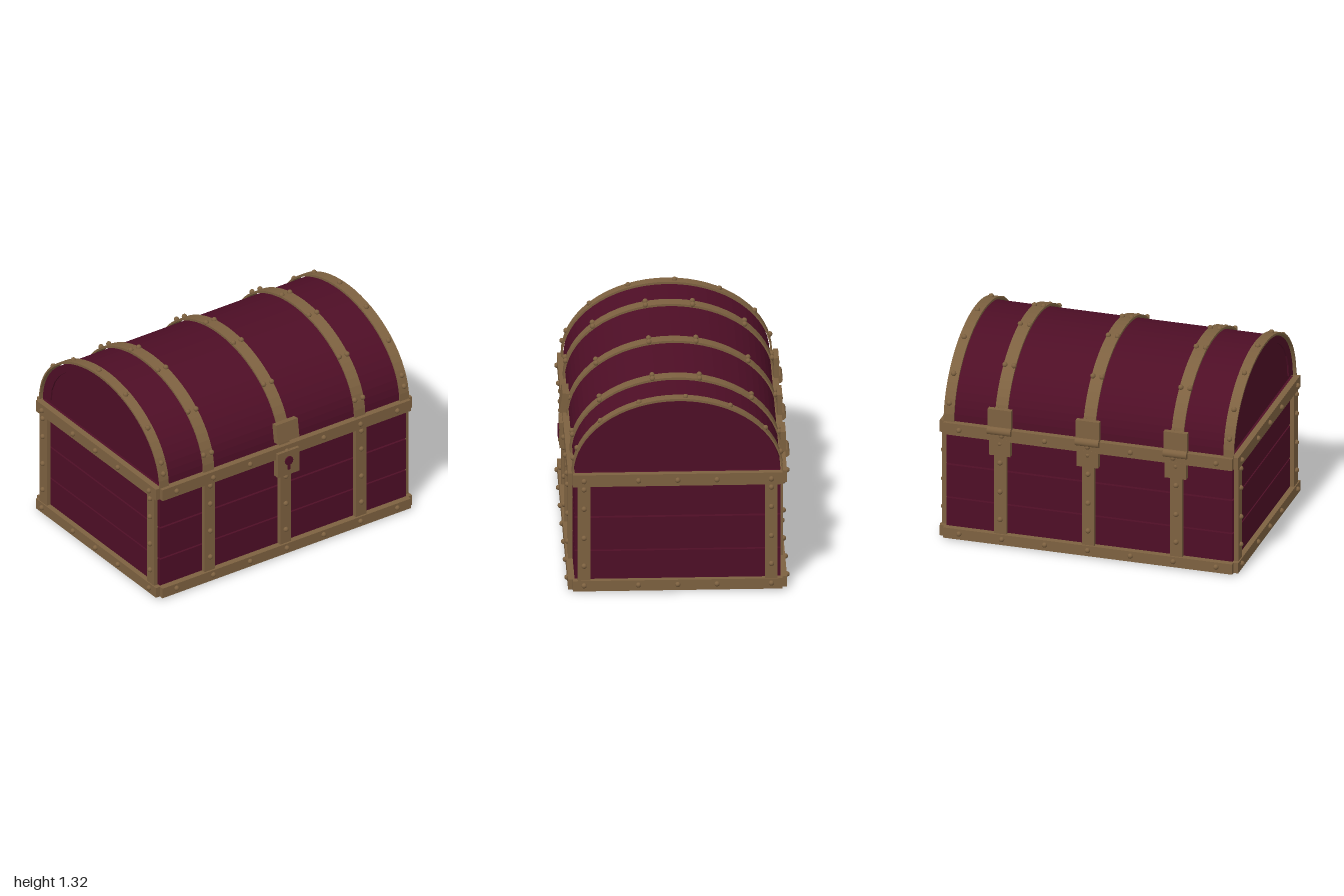
import * as THREE from 'three';
import { mergeGeometries } from 'three/addons/utils/BufferGeometryUtils.js';

const wood = new THREE.MeshStandardMaterial({ name: 'burgundy wood', color: 0x4e0e26 });
const brass = new THREE.MeshStandardMaterial({ name: 'aged brass', color: 0x7d6140 });

const LID_Y = 0.8;

export function createModel() {
  const root = new THREE.Group();
  root.name = 'treasureChest';

  function add(name, geo, mat, x = 0, y = 0, z = 0) {
    const m = new THREE.Mesh(geo, mat);
    m.name = name;
    m.position.set(x, y, z);
    root.add(m);
    return m;
  }
  // box given by its lower and upper limits on each axis
  function span(name, mat, x0, x1, y0, y1, z0, z1) {
    return add(name, new THREE.BoxGeometry(x1 - x0, y1 - y0, z1 - z0), mat,
      (x0 + x1) / 2, (y0 + y1) / 2, (z0 + z1) / 2);
  }

  // half-ellipse points, depth radius a and height b, standing on y0
  function arc(a, b, y0 = LID_Y, n = 32) {
    return Array.from({ length: n + 1 }, (_, i) => {
      const t = Math.PI * i / n;
      return new THREE.Vector2(a * Math.cos(t), y0 + b * Math.sin(t));
    });
  }
  // extrude a side profile along x, centred on x = 0
  function alongX(points, width) {
    const g = new THREE.ExtrudeGeometry(new THREE.Shape(points), { depth: width, bevelEnabled: false });
    g.translate(0, 0, -width / 2);
    return g.rotateY(Math.PI / 2);
  }
  const archRing = (a, b, a2, b2, width, y2 = LID_Y, n2 = 32) =>
    alongX([...arc(a, b), ...arc(a2, b2, y2, n2).reverse()], width);

  // Plank walls with open slits between the rows
  for (const [y0, y1] of [[0.02, 0.268], [0.279, 0.495], [0.507, 0.795]]) {
    for (const s of [-1, 1]) {
      const wide = new THREE.BoxGeometry(1.87, y1 - y0, 0.04);
      const deep = new THREE.BoxGeometry(0.04, y1 - y0, 1.25);
      add('longPlank', wide, wood, 0, (y0 + y1) / 2, s * 0.623);
      add('sidePlank', deep, wood, s * 0.92, (y0 + y1) / 2, 0);
    }
  }
  span('floor', wood, -0.93, 0.93, 0.022, 0.05, -0.63, 0.63);
  span('basePlate', wood, -0.87, 0.87, 0, 0.03, -0.57, 0.57);

  // Horizontal rails, posts and straps
  const strapX = [-0.575, 0, 0.575];
  for (const s of [-1, 1]) {
    for (const [y0, y1] of [[0.01, 0.08], [0.72, LID_Y]]) {
      const h = y1 - y0, y = (y0 + y1) / 2;
      add('longRail', new THREE.BoxGeometry(1.89, h, 0.043), brass, 0, y, s * 0.6625);
      add('sideRail', new THREE.BoxGeometry(0.04, h, 1.31), brass, s * 0.955, y, 0);
    }
    for (const x of strapX)
      add('wallStrap', new THREE.BoxGeometry(0.08, 0.66, 0.03), brass, x, 0.4, s * 0.656);
    for (const z of [-0.585, 0.585])
      add('sidePost', new THREE.BoxGeometry(0.03, 0.66, 0.078), brass, s * 0.953, 0.4, z);
  }

  // Domed lid with recessed ends
  add('lidShell', archRing(0.643, 0.475, 0.56, 0.407, 1.86, 0.828, 16), wood);
  add('lidEndPanel', alongX(arc(0.62, 0.455), 1.84), wood);

  // Brass bands bowed over the lid
  for (const x of strapX) add('lidBand', archRing(0.66, 0.5, 0.65, 0.485, 0.08), brass, x);
  for (const s of [-1, 1]) add('lidEndBand', archRing(0.66, 0.5, 0.65, 0.485, 0.068), brass, s * 0.914);

  // Rivets
  const spots = [];
  for (const s of [-1, 1]) {
    for (const y of [0.05, 0.76]) {
      for (let i = -3; i <= 3; i++) spots.push([i * 0.28, y, s * 0.687]);
      for (const z of [-0.585, -0.245, 0, 0.245, 0.585]) spots.push([s * 0.979, y, z]);
    }
    for (const y of [0.18, 0.37, 0.568, 0.7]) {
      for (const x of strapX) spots.push([x, y, s * 0.674]);
      for (const z of [-0.585, 0.585]) spots.push([s * 0.971, y, z]);
    }
  }
  const onArch = z => LID_Y + 0.503 * Math.sqrt(1 - (z / 0.664) ** 2);
  for (const z of [0.645, 0.475, 0.145, -0.15, -0.475, -0.645])
    for (const x of strapX) for (const d of [-0.03, 0.03]) spots.push([x + d, onArch(z), z]);
  for (const z of [0.652, 0.628, 0.482, 0.24, -0.05, -0.33, -0.55, -0.645])
    for (const s of [-1, 1]) spots.push([s * 0.916, onArch(z), z]);
  const rivet = new THREE.SphereGeometry(0.017, 10, 8);
  add('rivets', mergeGeometries(spots.map(p => rivet.clone().translate(...p))), brass);

  // Hinges on the back
  for (const x of strapX) {
    span('hingeUpperLeaf', brass, x - 0.077, x + 0.077, 0.8, 0.935, -0.687, -0.655);
    span('hingeLowerLeaf', brass, x - 0.07, x + 0.07, 0.62, 0.73, -0.685, -0.64);
    const knuckle = new THREE.CylinderGeometry(0.027, 0.027, 0.154, 14).rotateZ(Math.PI / 2);
    add('hingeKnuckle', knuckle, brass, x, 0.79, -0.684);
  }

  // Hasp and lock plate on the front
  add('hasp', new THREE.BoxGeometry(0.165, 0.128, 0.042), brass, 0, 0.905, 0.675).rotation.x = -0.15;
  span('lockPlate', brass, -0.081, 0.081, 0.597, 0.768, 0.66, 0.705);
  const disc = new THREE.CylinderGeometry(0.03, 0.03, 0.009, 20).rotateX(Math.PI / 2);
  add('keyholeDisc', disc, wood, 0, 0.7, 0.709);
  span('keyholeSlot', wood, -0.01, 0.01, 0.637, 0.69, 0.704, 0.713);

  root.position.z = -0.003;
  const model = new THREE.Group();
  model.name = 'chest';
  model.add(root);
  return model;
}
